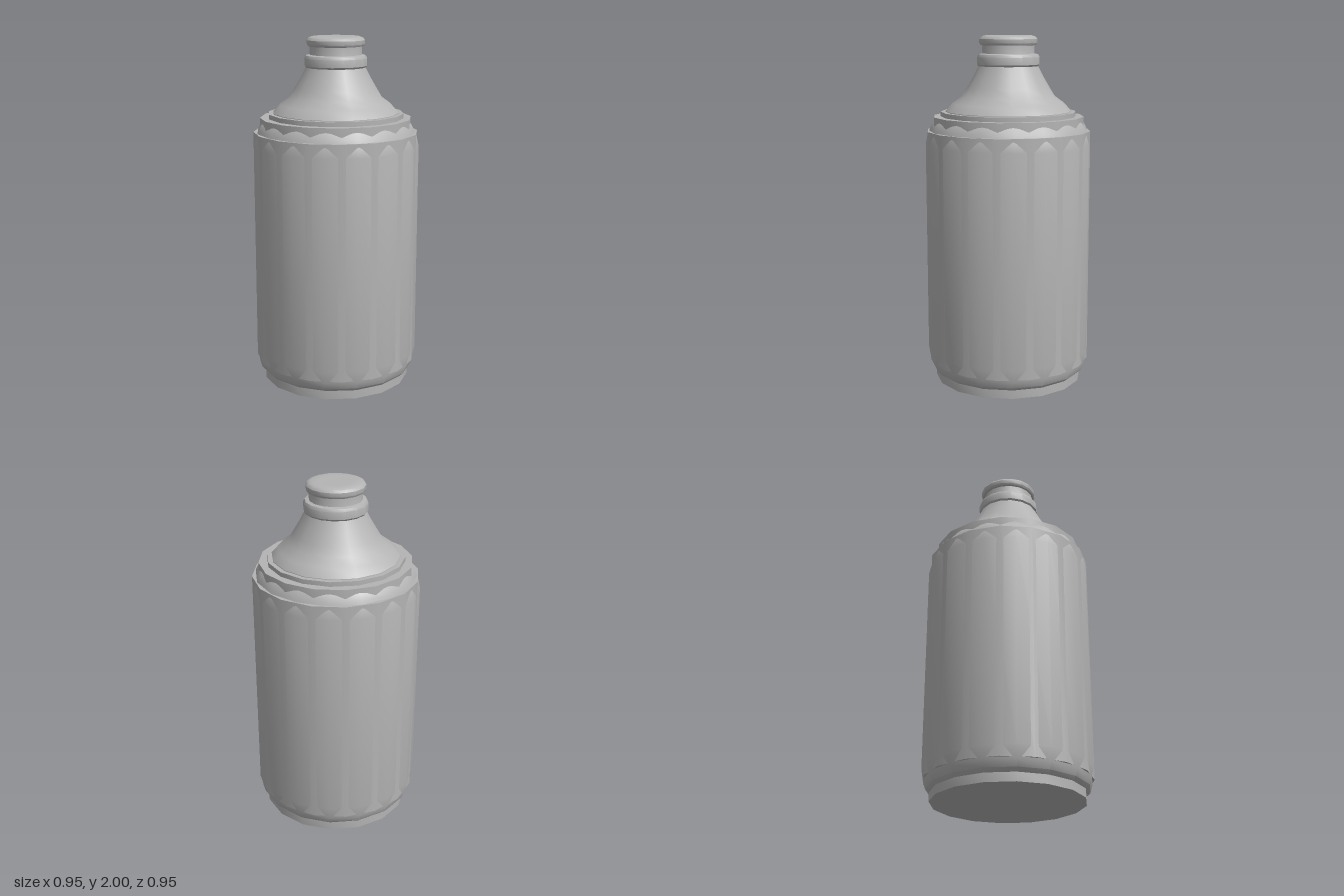
import * as THREE from 'three';
import { toCreasedNormals } from 'three/addons/utils/BufferGeometryUtils.js';

const SIDES = 16;
const HALF_STEP = Math.PI / SIDES;

export function createModel() {
  const model = new THREE.Group();
  model.name = 'bottleInSleeve';
  const grey = new THREE.MeshStandardMaterial({ color: 0xb4b4b4 });
  grey.name = 'grey';

  // Turned part from [radius, height] pairs, listed from bottom to top
  function turned(name, profile, turn = 0) {
    const points = profile.map(([r, y]) => new THREE.Vector2(r, y));
    const geometry = toCreasedNormals(new THREE.LatheGeometry(points, SIDES, turn), 0.6);
    const mesh = new THREE.Mesh(geometry, grey);
    mesh.name = name;
    model.add(mesh);
  }

  // Main shell with tapered shoulders and foot
  turned('sleeveBody', [
    [0, 0.05], [0.43, 0.05], [0.452, 0.07], [0.464, 0.11], [0.475, 0.18],
    [0.475, 1.39], [0.464, 1.44], [0.448, 1.48], [0.43, 1.515], [0.4, 1.54], [0, 1.54],
  ]);

  // Half-step wrap: its corners show through the shell's flat faces
  turned('sleeveWrap', [
    [0, 0.12], [0.47, 0.12], [0.47, 1.465], [0, 1.465],
  ], HALF_STEP);

  // Foot under the sleeve
  turned('base', [[0, 0], [0.43, 0], [0.43, 0.065], [0, 0.065]]);

  // Stepped opening around the bottle
  turned('shoulderRing', [[0, 1.46], [0.432, 1.46], [0.432, 1.546], [0, 1.546]], HALF_STEP);
  turned('openingRing', [[0, 1.53], [0.387, 1.53], [0.387, 1.572], [0, 1.572]]);

  // Bottle shoulder and neck
  turned('bottle', [
    [0, 1.55], [0.36, 1.55], [0.36, 1.575], [0.32, 1.62], [0.265, 1.66],
    [0.235, 1.71], [0.2, 1.77], [0.172, 1.825], [0.165, 1.84], [0.148, 1.9],
    [0.148, 1.96], [0, 1.96],
  ]);

  // Rounded collar on the neck
  turned('neckCollar', [
    [0.145, 1.828], [0.17, 1.828], [0.178, 1.838], [0.178, 1.88],
    [0.17, 1.895], [0.145, 1.9],
  ]);

  // Cap with a soft rim
  turned('cap', [
    [0.145, 1.945], [0.158, 1.947], [0.165, 1.958], [0.165, 1.98],
    [0.155, 1.993], [0.135, 2], [0.09, 2], [0, 1.995],
  ]);

  return model;
}
